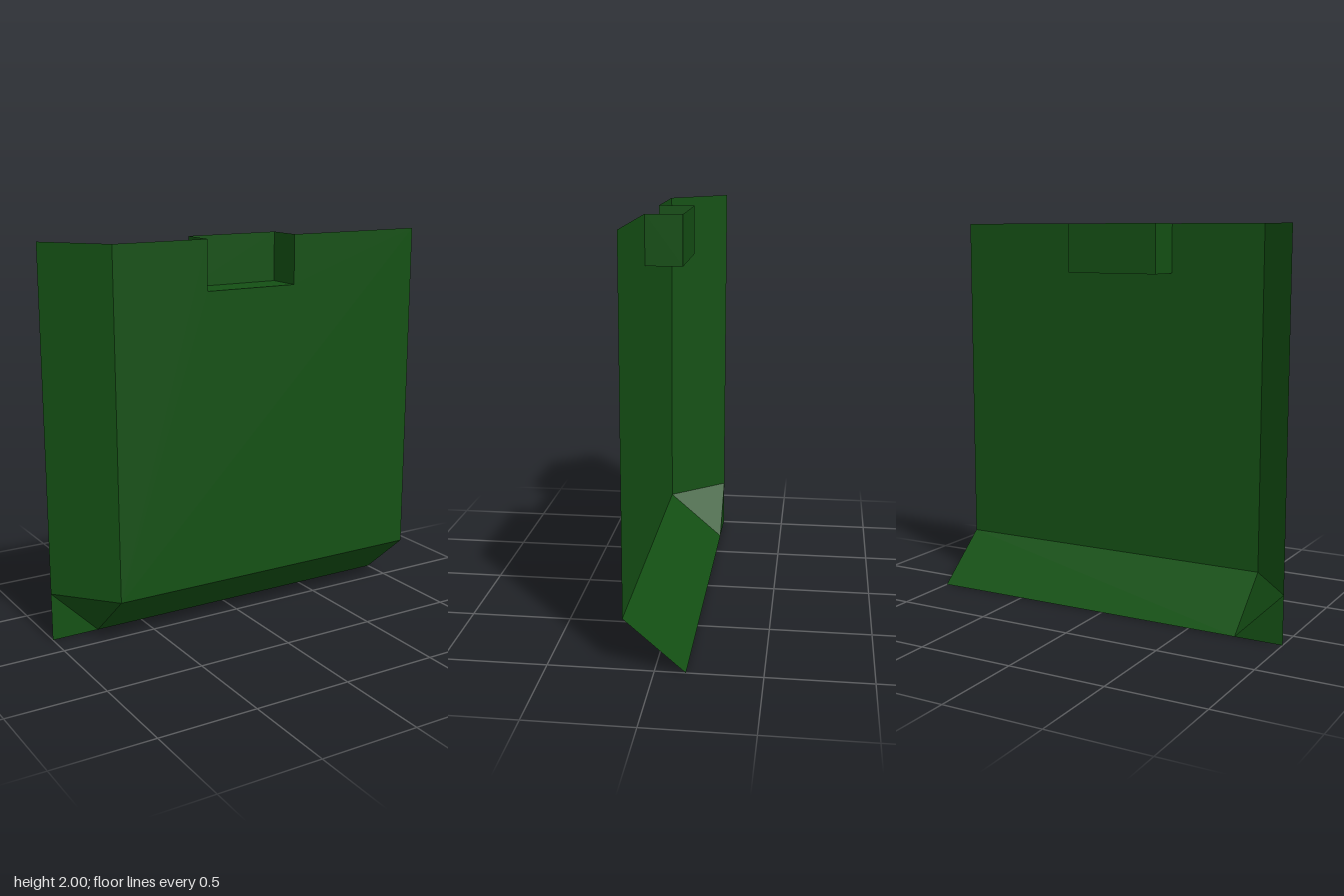
import * as THREE from 'three';

const F = 0.145, B = -0.145;      // front and back depth
const IX = -0.75, IY = 0.25;      // where the flanges fold away from the plate
const PX = 0.25, PY = 1.75, PZ = -0.04; // pocket half width, floor height, back depth

export function createModel() {
  const group = new THREE.Group();
  const green = new THREE.MeshStandardMaterial({ color: 0x145014, side: THREE.DoubleSide });
  green.name = 'darkGreen';

  const add = (name, geometry) => {
    const mesh = new THREE.Mesh(geometry, green);
    mesh.name = name;
    group.add(mesh);
  };

  // flat convex panel from corners, counter-clockwise seen from its front
  const panel = (name, ...corners) => {
    const points = [];
    for (let i = 1; i < corners.length - 1; i++) {
      points.push(...corners[0], ...corners[i], ...corners[i + 1]);
    }
    const geometry = new THREE.BufferGeometry();
    geometry.setAttribute('position', new THREE.Float32BufferAttribute(points, 3));
    geometry.computeVertexNormals();
    add(name, geometry);
  };

  // main plate with a notch in its top edge
  const outline = [[IX, IY], [1, IY], [1, 2], [PX, 2], [PX, PY], [-PX, PY], [-PX, 2], [IX, 2]];
  const shape = new THREE.Shape(outline.map(([x, y]) => new THREE.Vector2(x, y)));
  add('frontPlate', new THREE.ShapeGeometry(shape).translate(0, 0, F));

  // flanges sloping back, joined by a bevelled corner and a flat tip
  panel('sideFlange', [-1, IY, B], [IX, IY, F], [IX, 2, F], [-1, 2, B]);
  panel('bottomFlange', [IX, 0, B], [1, 0, B], [1, IY, F], [IX, IY, F]);
  panel('cornerBevel', [IX, IY, F], [-1, IY, B], [IX, 0, B]);
  panel('cornerTip', [-1, 0, B], [IX, 0, B], [-1, IY, B]);

  // recessed pocket, open at the front and top
  panel('pocketBack', [-PX, PY, PZ], [PX, PY, PZ], [PX, 2, PZ], [-PX, 2, PZ]);
  panel('pocketFloor', [-PX, PY, F], [PX, PY, F], [PX, PY, PZ], [-PX, PY, PZ]);
  panel('pocketRightWall', [-PX, PY, F], [-PX, PY, PZ], [-PX, 2, PZ], [-PX, 2, F]);
  panel('pocketLeftWall', [PX, PY, PZ], [PX, PY, F], [PX, 2, F], [PX, 2, PZ]);

  return group;
}
